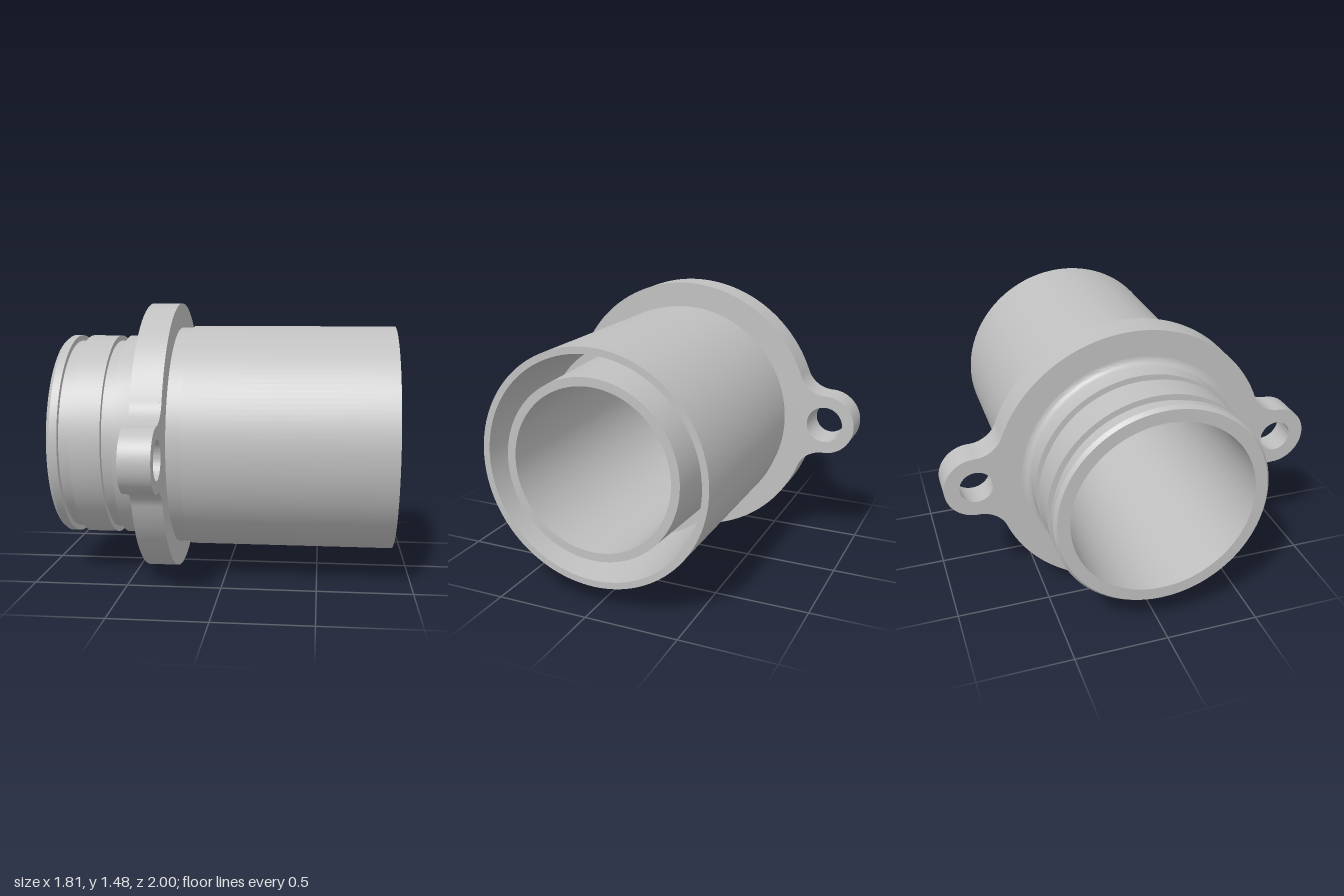
import * as THREE from 'three';
import { toCreasedNormals } from 'three/addons/utils/BufferGeometryUtils.js';

const AXIS_Y = 0.74;
const FLANGE_BACK = -0.43, FLANGE_FRONT = -0.27;
const EAR = 0.835, EAR_R = 0.165, FLANGE_R = 0.74, FILLET = 0.154;

// Turned body: grooved spigot, collar, sleeve with an annular cavity, tapered bore
function bodyGeometry() {
  const profile = [
    [0.48, -0.907], [0.545, -0.907], [0.56, -0.888],
    [0.56, -0.847], [0.53, -0.847], [0.53, -0.782], [0.56, -0.782],
    [0.56, -0.62], [0.53, -0.62], [0.53, -0.56], [0.56, -0.56],
  ];
  // Fillet running up to the flange
  for (let i = 0; i <= 8; i++) {
    const t = (i / 8) * Math.PI / 2;
    profile.push([0.6 - 0.04 * Math.cos(t), -0.47 + 0.04 * Math.sin(t)]);
  }
  profile.push(
    [0.605, FLANGE_BACK + 0.02], [0.605, -0.195], [0.615, -0.195], [0.615, 0.907],
    [0.58, 0.907], [0.535, 0.4], [0.49, 0.4], [0.47, 0.907], // cavity
    [0.425, 0.907], [0.48, -0.907], // bore
  );
  const g = new THREE.LatheGeometry(profile.map(([r, y]) => new THREE.Vector2(r, y)), 128);
  g.rotateZ(-Math.PI / 2);
  return toCreasedNormals(g, 0.4);
}

// Round flange with two filleted ears and tapered bolt holes
function flangeGeometry() {
  const shape = new THREE.Shape();
  const fy = EAR_R + FILLET;
  const a = Math.atan2(fy, EAR);
  const up = Math.PI / 2;
  shape.absarc(EAR, 0, EAR_R, -up, up, false);
  shape.absarc(EAR, fy, FILLET, -up, a - Math.PI, true);
  shape.absarc(0, 0, FLANGE_R, a, Math.PI - a, false);
  shape.absarc(-EAR, fy, FILLET, -a, -up, true);
  shape.absarc(-EAR, 0, EAR_R, up, 3 * up, false);
  shape.absarc(-EAR, -fy, FILLET, up, a, true);
  shape.absarc(0, 0, FLANGE_R, Math.PI + a, 2 * Math.PI - a, false);
  shape.absarc(EAR, -fy, FILLET, Math.PI - a, up, true);
  for (const [x, r] of [[0, 0.56], [EAR, 0.1], [-EAR, 0.1]]) {
    shape.holes.push(new THREE.Path().absarc(x, 0, r, 0, Math.PI * 2, true));
  }
  const g = new THREE.ExtrudeGeometry(shape, {
    depth: FLANGE_FRONT - FLANGE_BACK, bevelEnabled: false, curveSegments: 48,
  });
  // Narrow the bolt holes towards the back face
  const p = g.attributes.position;
  for (let i = 0; i < p.count; i++) {
    const cx = Math.sign(p.getX(i)) * EAR;
    const dx = p.getX(i) - cx, dy = p.getY(i);
    if (p.getZ(i) < 0.01 && Math.hypot(dx, dy) < 0.11) {
      p.setXY(i, cx + dx * 0.86, dy * 0.86);
    }
  }
  g.rotateY(Math.PI / 2);
  g.translate(FLANGE_BACK, 0, 0);
  return toCreasedNormals(g, 0.4);
}

export function createModel() {
  const grey = new THREE.MeshStandardMaterial({ color: 0xc0c0c0 });
  grey.name = 'lightGrey';
  const group = new THREE.Group();
  group.name = 'flangedSleeve';
  const add = (name, geometry) => {
    const mesh = new THREE.Mesh(geometry, grey);
    mesh.name = name;
    mesh.position.y = AXIS_Y;
    group.add(mesh);
  };
  add('body', bodyGeometry());
  add('flange', flangeGeometry());
  return group;
}
